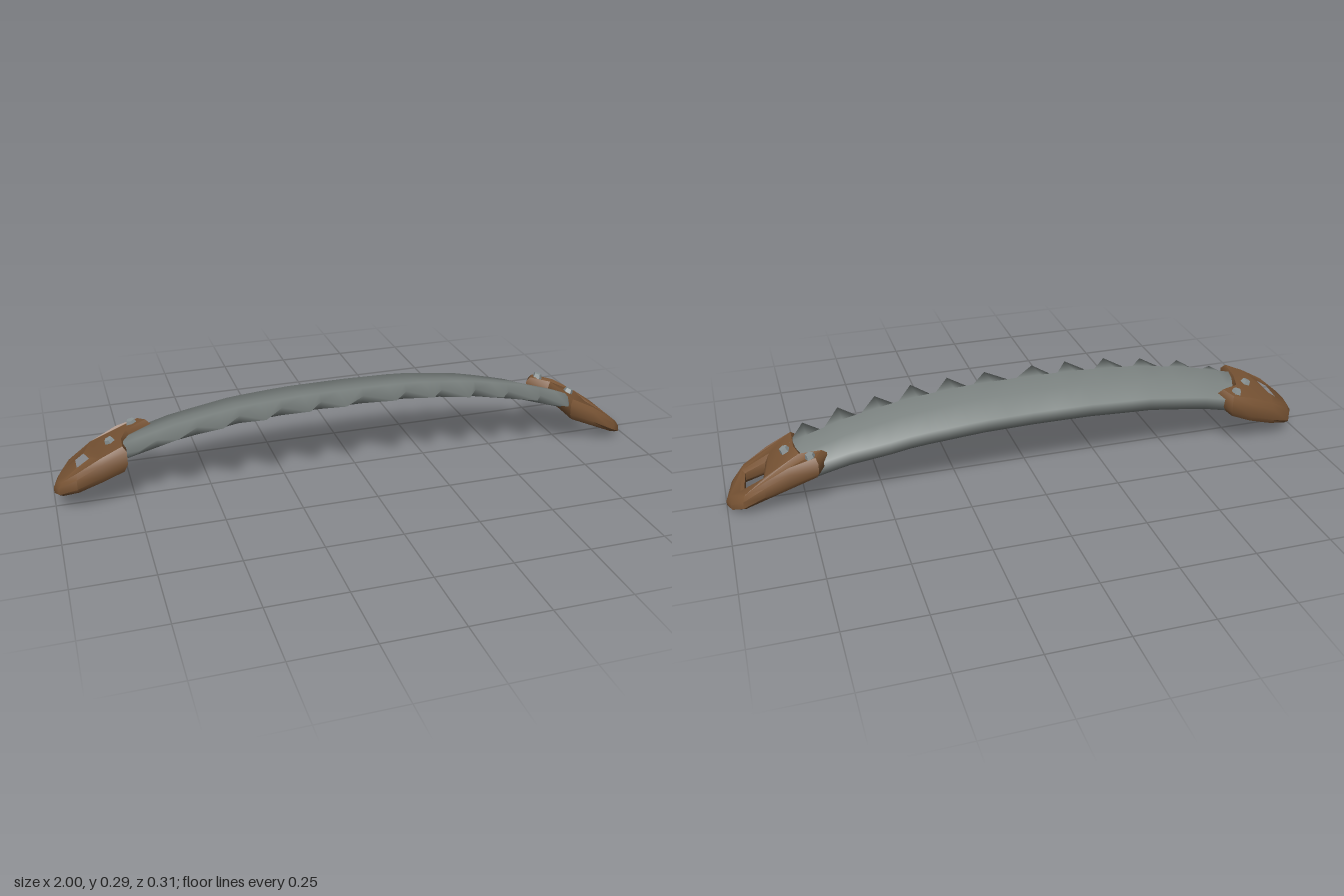
import * as THREE from 'three';
import { toCreasedNormals } from 'three/addons/utils/BufferGeometryUtils.js';

// Piecewise linear lookup through [x, value] pairs sorted by x
function lookup(table, x) {
  if (x <= table[0][0]) return table[0][1];
  for (let i = 1; i < table.length; i++) {
    const [x0, v0] = table[i - 1], [x1, v1] = table[i];
    if (x <= x1) return v0 + (v1 - v0) * (x - x0) / (x1 - x0);
  }
  return table[table.length - 1][1];
}

// Bowed blade: ridge height and back edge along x
const ridge = [[-0.78, 0.21], [-0.6, 0.256], [-0.4, 0.286], [-0.2, 0.298], [0, 0.3],
  [0.2, 0.296], [0.4, 0.276], [0.6, 0.236], [0.78, 0.178]];
const back = [[-0.78, -0.12], [-0.65, -0.132], [-0.3, -0.148], [0.25, -0.15], [0.5, -0.137], [0.7, -0.105], [0.78, -0.1]];
// Tooth tips as [x, z]
const tips = [[-0.73, 0.1], [-0.61, 0.12], [-0.47, 0.13], [-0.335, 0.14], [-0.19, 0.138], [-0.07, 0.138],
  [0.1, 0.138], [0.23, 0.142], [0.355, 0.15], [0.48, 0.142], [0.605, 0.147], [0.725, 0.147]];

function bladeGeometry() {
  // Columns alternate between notches and tips
  const columns = [[-0.78, 0.06, false]];
  tips.forEach(([x, z], i) => {
    columns.push([x, z, true]);
    const next = tips[i + 1];
    columns.push([next ? (x + next[0]) / 2 : 0.78, 0.052, false]);
  });
  const position = [], index = [], n = 6;
  for (const [x, zf, tip] of columns) {
    const y = lookup(ridge, x), zb = lookup(back, x);
    const ring = [[zb, -0.04], [-0.04, -0.018], [0.035, 0], [zf, tip ? -0.012 : -0.022], [0.03, -0.058], [zb + 0.005, -0.085]];
    for (const [z, dy] of ring) position.push(x, y + dy, z);
  }
  for (let i = 0; i < columns.length - 1; i++) {
    for (let j = 0; j < n; j++) {
      const a = i * n + j, b = i * n + (j + 1) % n;
      index.push(a, b, a + n, b, b + n, a + n);
    }
  }
  // End caps
  const last = (columns.length - 1) * n;
  for (let j = 1; j < n - 1; j++) {
    index.push(0, j + 1, j, last, last + j, last + j + 1);
  }
  const g = new THREE.BufferGeometry();
  g.setAttribute('position', new THREE.Float32BufferAttribute(position, 3));
  g.setIndex(index);
  g.computeVertexNormals();
  return g;
}

// Grip plate: outline with a hand hole, bent to its upper and lower height curves
function handleGeometry({ outline, hole, top, bottom, tilt }) {
  const flip = ([x, z]) => new THREE.Vector2(x, -z);
  const shape = new THREE.Shape(outline.map(flip));
  shape.holes.push(new THREE.Path(hole.map(flip)));
  const g = new THREE.ExtrudeGeometry(shape, {
    depth: 0.5, bevelThickness: 0.25, bevelSize: 0.012, bevelOffset: -0.012, bevelSegments: 1, steps: 1,
  });
  g.translate(0, 0, 0.25);
  g.rotateX(-Math.PI / 2);
  const p = g.attributes.position;
  for (let i = 0; i < p.count; i++) {
    const x = p.getX(i), t = p.getY(i);
    p.setY(i, THREE.MathUtils.lerp(lookup(bottom, x), lookup(top, x), t) + tilt * p.getZ(i));
  }
  return toCreasedNormals(g, 0.75);
}

const handles = [
  {
    name: 'rightHandle',
    outline: [[-1, 0], [-0.985, -0.06], [-0.95, -0.115], [-0.87, -0.143], [-0.78, -0.157], [-0.7, -0.158],
      [-0.67, -0.1], [-0.745, -0.06], [-0.765, 0], [-0.77, 0.085], [-0.85, 0.087], [-0.93, 0.083], [-0.985, 0.045]],
    hole: [[-0.935, -0.065], [-0.885, -0.068], [-0.87, 0.03], [-0.935, 0.035]],
    top: [[-1, 0.083], [-0.9, 0.157], [-0.77, 0.216], [-0.68, 0.236]],
    bottom: [[-1, 0.045], [-0.95, 0.062], [-0.8, 0.115], [-0.68, 0.165]],
    tilt: 0.13,
    rivets: [[-0.81, -0.03], [-0.73, -0.118]],
  },
  {
    name: 'leftHandle',
    outline: [[1, -0.01], [0.985, -0.06], [0.95, -0.1], [0.88, -0.115], [0.8, -0.128], [0.71, -0.137],
      [0.675, -0.085], [0.75, -0.055], [0.76, 0], [0.757, 0.107], [0.85, 0.108], [0.935, 0.105], [0.975, 0.075]],
    hole: [[0.94, -0.035], [0.88, -0.062], [0.862, 0.035], [0.93, 0.055]],
    top: [[0.68, 0.205], [0.76, 0.187], [0.82, 0.162], [0.93, 0.09], [1, 0.03]],
    bottom: [[0.68, 0.14], [0.75, 0.115], [0.9, 0.053], [1, 0]],
    tilt: 0,
    rivets: [[0.8, 0], [0.73, -0.108]],
  },
];

export function createModel() {
  const steel = new THREE.MeshStandardMaterial({ name: 'steel grey', color: 0x7d8482 });
  const wood = new THREE.MeshStandardMaterial({ name: 'wood brown', color: 0x7a5535 });
  const rivetMetal = new THREE.MeshStandardMaterial({ name: 'rivet grey', color: 0x8a9394 });
  const model = new THREE.Group();
  model.name = 'twoHandledSaw';

  const add = (parent, name, geometry, material) => {
    const mesh = new THREE.Mesh(geometry, material);
    mesh.name = name;
    parent.add(mesh);
    return mesh;
  };

  add(model, 'blade', bladeGeometry(), steel);

  for (const spec of handles) {
    const group = new THREE.Group();
    group.name = spec.name;
    add(group, 'grip', handleGeometry(spec), wood);
    // Rivets sit on the upper face, leaning with its slope
    for (const [x, z] of spec.rivets) {
      const stud = new THREE.CylinderGeometry(0.014, 0.021, 0.026, 5).toNonIndexed();
      stud.computeVertexNormals();
      const rivet = add(group, 'rivet', stud, rivetMetal);
      const slope = (lookup(spec.top, x + 0.03) - lookup(spec.top, x - 0.03)) / 0.06;
      rivet.position.set(x, lookup(spec.top, x) + spec.tilt * z - 0.001, z);
      rivet.rotation.z = Math.atan(slope);
    }
    model.add(group);
  }
  return model;
}
